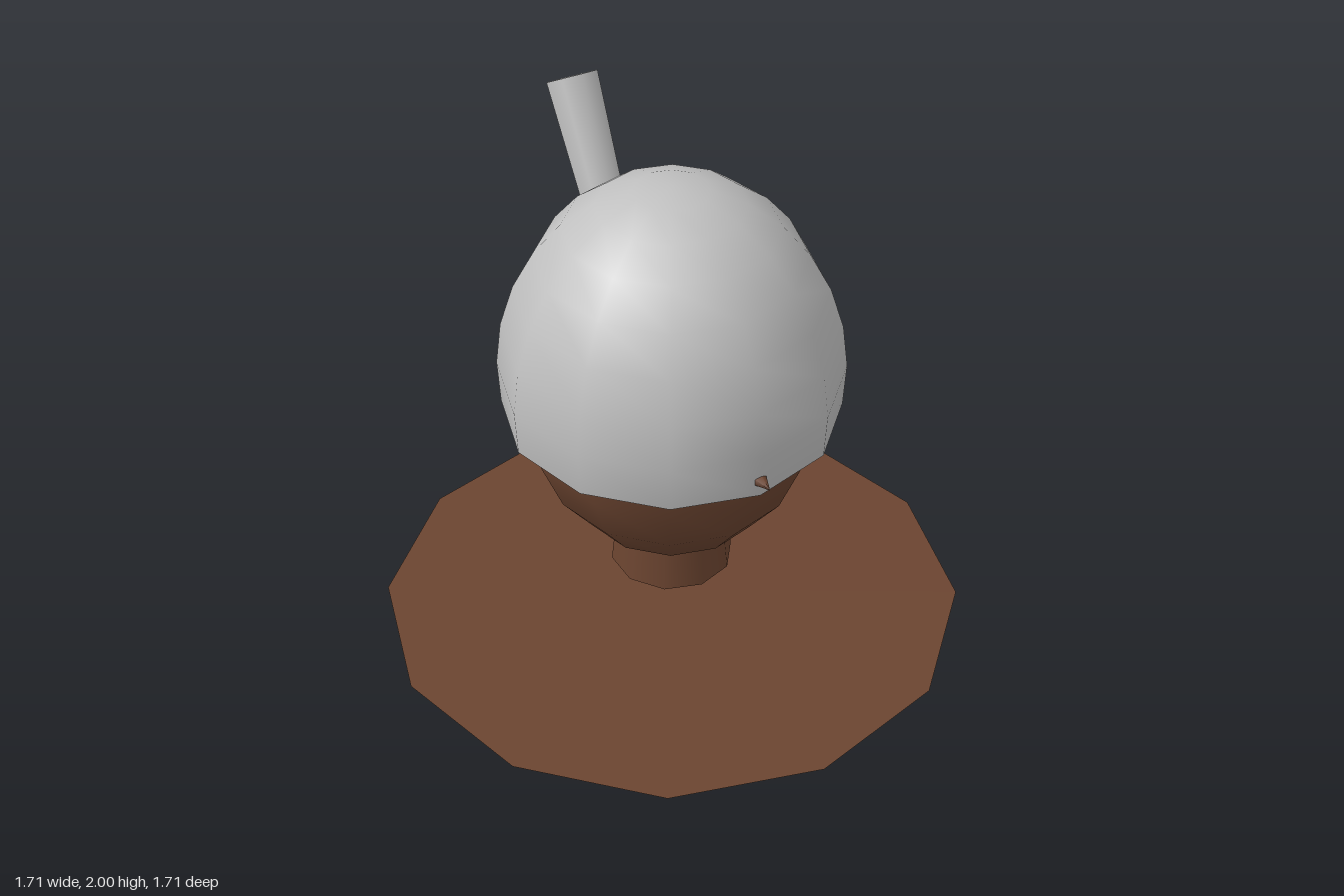
import * as THREE from 'three';

export function createModel() {
  const model = new THREE.Group();
  const brown = new THREE.MeshStandardMaterial({ color: 0x6b4430 });
  brown.name = 'brown';
  const grey = new THREE.MeshStandardMaterial({ color: 0xc0c0c0, side: THREE.DoubleSide });
  grey.name = 'light grey';

  function add(name, geometry, material, x, y, z) {
    const mesh = new THREE.Mesh(geometry, material);
    mesh.name = name;
    mesh.position.set(x, y, z);
    model.add(mesh);
    return mesh;
  }

  // Flared base, separate from the neck
  add('base', new THREE.CylinderGeometry(0.857, 0.35, 0.492, 12), brown, 0, 0.246, 0);

  // Neck, its top hidden in the head
  add('neck', new THREE.CylinderGeometry(0.16, 0.18, 0.2, 10), brown, 0, 0.75, 0);

  // Egg-shaped head
  add('head', new THREE.SphereGeometry(1, 12, 10), brown, 0, 1.28, 0)
    .scale.set(0.435, 0.54, 0.435);

  // Open domed cap reaching just below its widest ring
  add('cap', new THREE.SphereGeometry(1, 12, 8, 0, Math.PI * 2, 0, Math.PI * 0.555), grey, 0, 1.3, 0)
    .scale.set(0.488, 0.6, 0.492);

  // Tapered stub leaning backwards out of the cap
  const tilt = 0.52, length = 0.46;
  add('stub', new THREE.CylinderGeometry(0.079, 0.061, length, 8), grey,
    0, 1.958 - Math.cos(tilt) * length / 2, -0.569 + Math.sin(tilt) * length / 2)
    .rotation.x = -tilt;

  // Tiny spike at the front of the cap
  add('spike', new THREE.ConeGeometry(0.02, 0.05, 6), brown, 0, 1.246, 0.507)
    .rotation.x = Math.PI / 2;

  return model;
}
